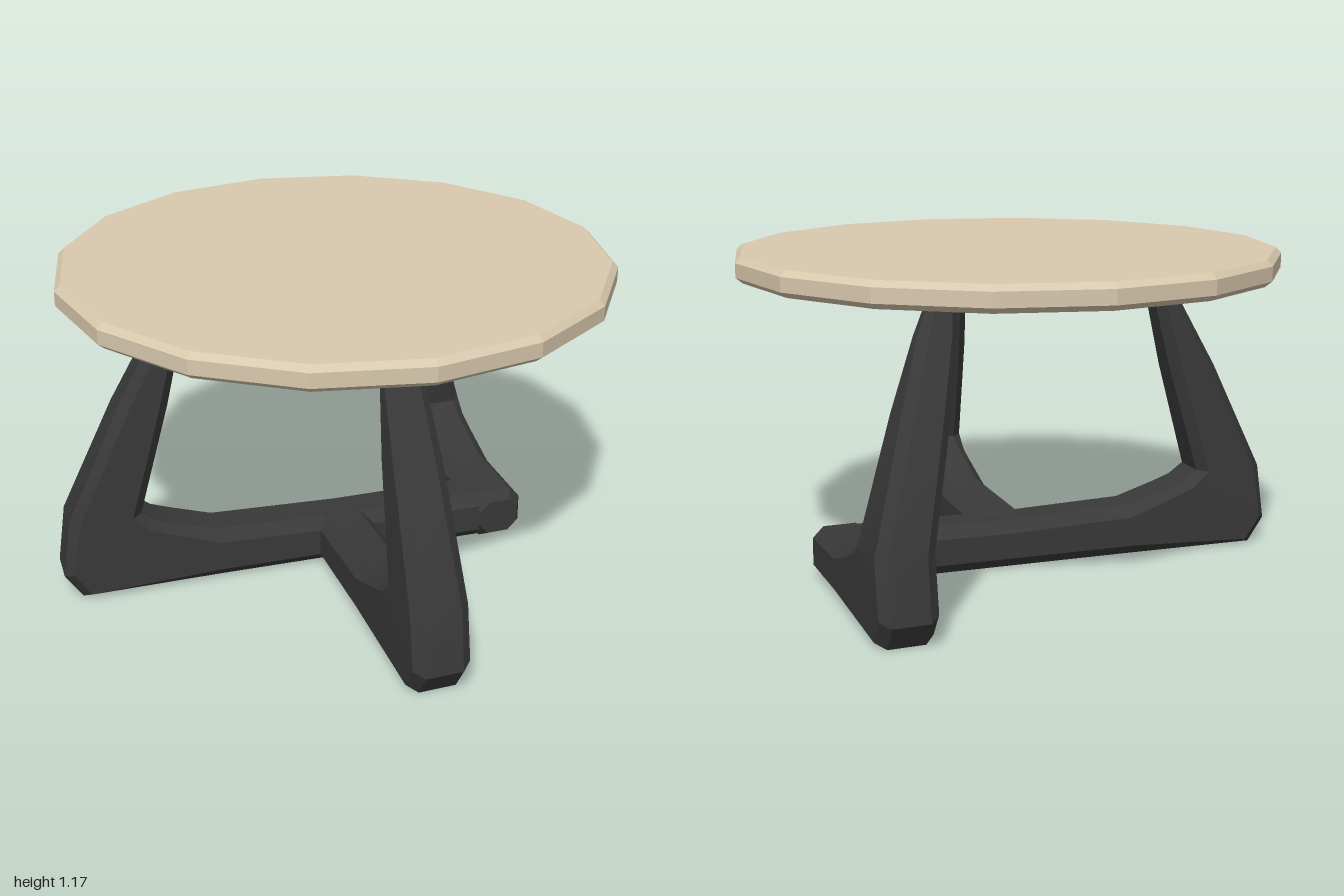
import * as THREE from 'three';
import { toCreasedNormals } from 'three/addons/utils/BufferGeometryUtils.js';

const wood = new THREE.MeshStandardMaterial({ color: 0xd9c9ae, flatShading: true });
const dark = new THREE.MeshStandardMaterial({ color: 0x393939 });

// Leg stations from the top down: [outer u, outer y, inner u, inner y, half width, chamfer]
const LEG = [
  [0.605, 1.085, 0.545, 1.085, 0.042, 0.02],
  [0.67, 0.95, 0.57, 0.95, 0.07, 0.03],
  [0.81, 0.7, 0.63, 0.7, 0.085, 0.035],
  [1.0, 0.3, 0.745, 0.3, 0.1, 0.035],
  [1.03, 0.09, 0.69, 0.26, 0.1, 0.035],
  [0.97, 0.0, 0.62, 0.235, 0.1, 0.035],
  [0.47, 0.0, 0.47, 0.19, 0.1, 0.04],
];

// Closed loft through rings that all have the same number of points
function loft(rings) {
  const n = rings[0].length, last = (rings.length - 1) * n, index = [];
  for (let i = 0; i < rings.length - 1; i++) {
    for (let j = 0; j < n; j++) {
      const k = (j + 1) % n, a = i * n + j, b = i * n + k;
      index.push(a, b, b + n, a, b + n, a + n);
    }
  }
  for (let j = 1; j < n - 1; j++) {
    index.push(0, j + 1, j, last, last + j, last + j + 1);
  }
  const geo = new THREE.BufferGeometry();
  geo.setAttribute('position', new THREE.Float32BufferAttribute(rings.flat(2), 3));
  geo.setIndex(index);
  return toCreasedNormals(geo, 0.45);
}

// One bent arm: a leaning leg, its foot and the floor beam back to beamEnd.
// shift shortens the beam; leanU and leanV split the lean along and across it.
function arm(name, ox, oz, angle, beamEnd, shift = 0, leanU = 1, leanV = 0) {
  const dx = Math.cos(angle), dz = Math.sin(angle);
  const stations = [...LEG];
  if (beamEnd < 0 && shift === 0) stations.push([0, 0, 0, 0.175, 0.1, 0.04]);
  stations.push([beamEnd + 0.04 - shift, 0, beamEnd + 0.04 - shift, 0.18, 0.1, 0.04]);
  stations.push([beamEnd - shift, 0.025, beamEnd - shift, 0.155, 0.075, 0.035]);

  const rings = stations.map(([uo, yo, ui, yi, b, chamfer]) => {
    const mid = (uo + ui) / 2;
    const lean = yo > 0.31 ? 0.873 - mid : 0;
    const du = shift + lean * (1 - leanU), dv = lean * leanV;
    const half = Math.hypot(uo - ui, yo - yi) / 2;
    const k = Math.min(chamfer, half * 0.6), f = k / (2 * half);
    const outline = [
      [0, k - b], [f, -b], [1 - f, -b], [1, k - b],
      [1, b - k], [1 - f, b], [f, b], [0, b - k],
    ];
    return outline.map(([t, w]) => {
      const u = uo + (ui - uo) * t + du, v = w + dv;
      return [ox + dx * u + dz * v, yo + (yi - yo) * t, oz + dz * u - dx * v];
    });
  });
  const mesh = new THREE.Mesh(loft(rings), dark);
  mesh.name = name;
  return mesh;
}

export function createModel() {
  const group = new THREE.Group();
  group.name = 'roundTable';

  // Sixteen-sided top with chamfered rims
  const profile = [[0, 1.08], [0.945, 1.08], [0.97, 1.1], [0.97, 1.15], [0.95, 1.17], [0, 1.17]];
  const top = new THREE.Mesh(
    new THREE.LatheGeometry(profile.map(([x, y]) => new THREE.Vector2(x, y)), 16), wood);
  top.name = 'tableTop';
  top.position.z = 0.02;
  group.add(top);

  // Base: one beam runs through the middle, the other two join it at right angles
  const a = Math.atan2(0.69, 0.72);
  group.add(arm('frontLeftLeg', 0, 0, a, 0));
  group.add(arm('frontRightLeg', 0, 0, Math.PI - a, -0.69));
  group.add(arm('backLeg', 0.44, -0.41, a + Math.PI, -0.1, -0.24, 0.6, 0.75));
  return group;
}
